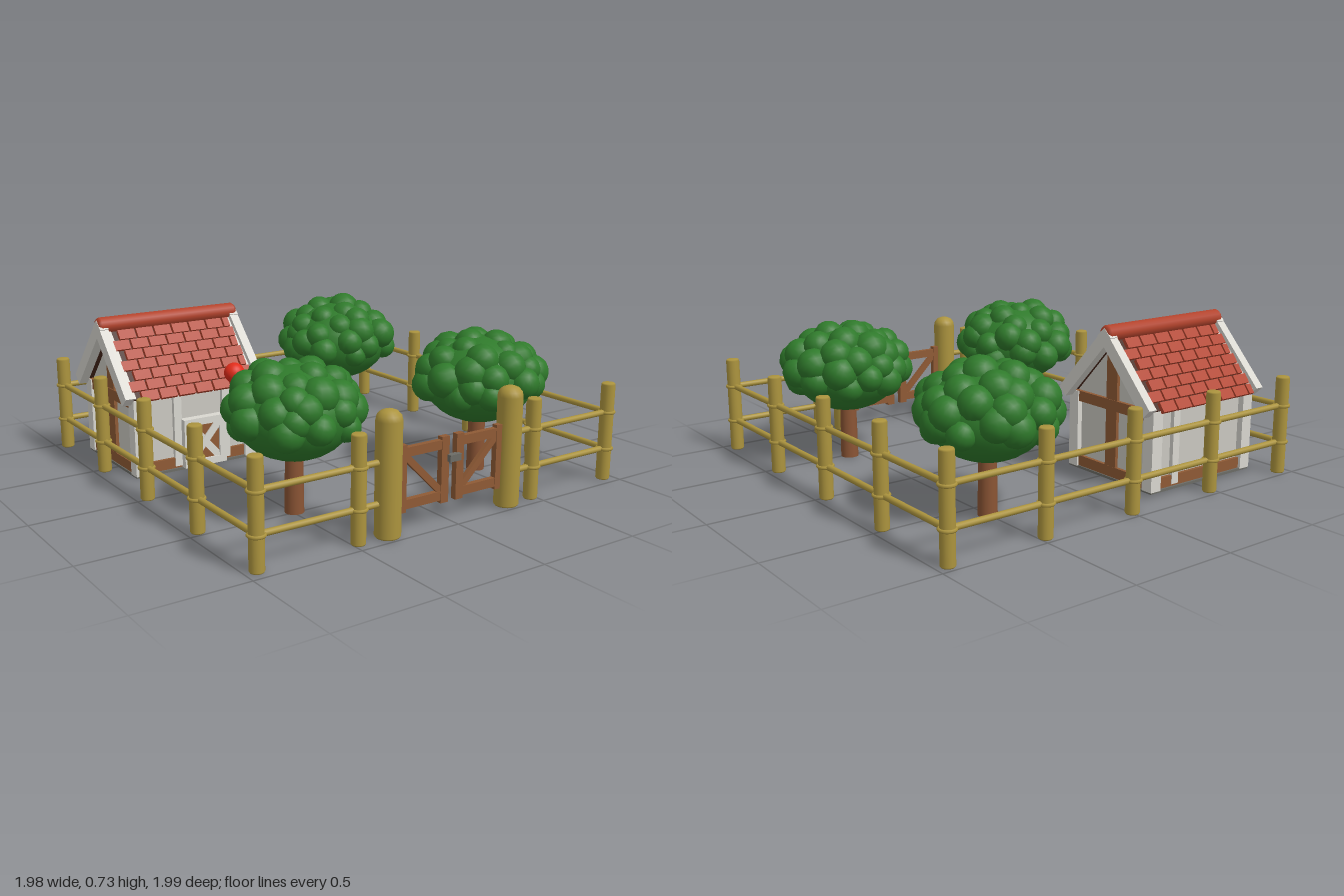
import * as THREE from 'three';

const mat = (name, color) => {
  const m = new THREE.MeshStandardMaterial({ color });
  m.name = name;
  return m;
};
const M = {
  bamboo: mat('bamboo', 0xac943e),
  timber: mat('timber', 0x8f5a35),
  bark: mat('bark', 0x8a5434),
  leaf: mat('leaf', 0x2f7a2b),
  white: mat('white trim', 0xd9d7d0),
  wall: mat('wall plaster', 0xcac8c1),
  tile: mat('roof tile', 0xb3432c),
  under: mat('roof boards', 0x47261a),
  red: mat('red ball', 0xe02c1a),
  stone: mat('dark stone and iron', 0x6c6c66),
};

function add(parent, name, geo, material, x = 0, y = 0, z = 0) {
  const m = new THREE.Mesh(geo, material);
  m.name = name;
  m.position.set(x, y, z);
  parent.add(m);
  return m;
}
const box = (parent, name, material, w, h, d, x = 0, y = 0, z = 0) =>
  add(parent, name, new THREE.BoxGeometry(w, h, d), material, x, y, z);
const lathe = (points, sides) =>
  new THREE.LatheGeometry(points.map(p => new THREE.Vector2(...p)), sides);
function group(parent, name, x = 0, y = 0, z = 0) {
  const g = new THREE.Group();
  g.name = name;
  g.position.set(x, y, z);
  parent.add(g);
  return g;
}
// Small seeded generator for irregular foliage
function seeded(s) {
  return () => (s = (s * 16807) % 2147483647) / 2147483647;
}

const X = 0.947, BACK = -0.956, FRONT = 0.939;
const RAILS = [0.15, 0.326];

function buildFence(root) {
  const fence = group(root, 'fence');
  const spots = [[-0.475, BACK], [0, BACK], [0.475, BACK], [-0.475, FRONT], [0.475, FRONT]];
  for (let i = 0; i < 5; i++) {
    const z = BACK + (FRONT - BACK) * i / 4;
    spots.push([-X, z], [X, z]);
  }

  // Posts with softly bevelled ends, bound by a ring at each rail
  const post = lathe([[0, 0], [0.028, 0], [0.032, 0.006], [0.032, 0.457], [0.028, 0.464], [0, 0.464]], 16);
  const ring = new THREE.TorusGeometry(0.033, 0.008, 6, 18).rotateX(Math.PI / 2);
  for (const [x, z] of spots) {
    add(fence, 'fencePost', post, M.bamboo, x, 0, z);
    for (const y of RAILS) add(fence, 'postBinding', ring, M.bamboo, x, y, z);
  }

  // Rails, broken at the gate
  const rail = (x0, z0, x1, z1, y) => {
    const len = Math.hypot(x1 - x0, z1 - z0);
    const r = add(fence, 'rail', new THREE.CylinderGeometry(0.014, 0.014, len, 10), M.bamboo,
      (x0 + x1) / 2, y, (z0 + z1) / 2);
    if (x0 === x1) r.rotation.x = Math.PI / 2;
    else r.rotation.z = Math.PI / 2;
  };
  for (const y of RAILS) {
    rail(-X, BACK, X, BACK, y);
    for (const s of [-1, 1]) {
      rail(s * X, BACK, s * X, FRONT, y);
      rail(s * X, FRONT, s * 0.33, FRONT, y);
    }
  }
}

function buildGate(root) {
  const gate = group(root, 'gate', 0, 0, FRONT);
  const post = lathe([[0, 0], [0.05, 0], [0.056, 0.008], [0.056, 0.495], [0.051, 0.517],
    [0.036, 0.533], [0.018, 0.54], [0, 0.542]], 20);
  for (const s of [-1, 1]) {
    add(gate, 'gatePost', post, M.bamboo, s * 0.328, 0, 0);
    const leaf = group(gate, 'gateLeaf');
    box(leaf, 'gateStile', M.timber, 0.04, 0.29, 0.028, s * 0.04, 0.235);
    box(leaf, 'gateStile', M.timber, 0.036, 0.29, 0.028, s * 0.262, 0.235);
    for (const y of [0.123, 0.347]) box(leaf, 'gateRail', M.timber, 0.22, 0.04, 0.025, s * 0.15, y);
    box(leaf, 'gateBrace', M.timber, 0.27, 0.03, 0.02, s * 0.15, 0.235).rotation.z = s * 0.78;
  }
  box(gate, 'gateLatch', M.stone, 0.06, 0.03, 0.028, 0, 0.285, 0.02);
}

function buildTree(root, x, z, seed) {
  const tree = group(root, 'tree', x, 0, z);
  const rnd = seeded(seed);
  add(tree, 'trunk', new THREE.CylinderGeometry(0.038, 0.043, 0.36, 14), M.bark, 0, 0.18, 0);
  const core = add(tree, 'foliageCore', new THREE.SphereGeometry(1, 24, 16), M.leaf, 0, 0.45, 0);
  core.scale.set(0.265, 0.205, 0.265);
  // Leaf clumps spread over the upper part of the crown
  const ball = new THREE.SphereGeometry(1, 14, 10);
  const n = 38;
  for (let i = 0; i < n; i++) {
    const h = 0.98 - 1.36 * (i + 0.5 * rnd()) / n;
    const a = i * 2.39996 + rnd() * 0.4 + seed;
    const r = Math.sqrt(1 - h * h) * 0.242, k = 0.95 + rnd() * 0.1;
    const c = add(tree, 'leafClump', ball, M.leaf,
      Math.cos(a) * r * k, 0.455 + h * 0.16 * k, Math.sin(a) * r * k);
    c.scale.setScalar(0.064 + rnd() * 0.02);
    c.rotation.set(rnd() * 3, rnd() * 3, 0);
  }
}

function buildHouse(root) {
  const house = group(root, 'house', -0.55, 0, -0.56);

  // Dark footing and wall core with gables
  box(house, 'footing', M.stone, 0.645, 0.012, 0.555, 0, 0.006);
  const shape = new THREE.Shape([[-0.25, 0.01], [0.25, 0.01], [0.25, 0.375], [0, 0.645], [-0.25, 0.375]]
    .map(p => new THREE.Vector2(...p)));
  const core = new THREE.ExtrudeGeometry(shape, { depth: 0.6, bevelEnabled: false });
  core.translate(0, 0, -0.3).rotateY(Math.PI / 2);
  add(house, 'walls', core, M.wall);

  for (const sx of [-1, 1]) {
    for (const sz of [-1, 1]) {
      box(house, 'cornerPost', M.white, 0.06, 0.37, 0.06, sx * 0.295, 0.193, sz * 0.25);
    }
    // Gable timbers
    box(house, 'gableSill', M.timber, 0.03, 0.052, 0.44, sx * 0.302, 0.036);
    box(house, 'gableBeam', M.timber, 0.03, 0.05, 0.5, sx * 0.304, 0.355);
    box(house, 'gablePost', M.timber, 0.028, 0.55, 0.07, sx * 0.302, 0.32);
  }
  // Sills and upright posts on the long walls
  for (const sz of [-1, 1]) {
    box(house, 'wallSill', M.timber, 0.54, 0.052, 0.03, 0, 0.036, sz * 0.252);
    for (const x of [-0.095, 0.165]) {
      box(house, 'wallPost', M.white, 0.04, 0.35, 0.04, x, 0.195, sz * 0.25);
    }
  }

  // Door with white frame and crossed braces
  const door = group(house, 'door', 0.035, 0.13, 0.275);
  box(door, 'doorPanel', M.timber, 0.2, 0.23, 0.03);
  for (const k of [-1, 1]) {
    box(door, 'doorStile', M.white, 0.036, 0.24, 0.046, k * 0.095, 0, 0.003);
    box(door, 'doorRail', M.white, 0.17, 0.034, 0.044, 0, k * 0.103, 0.003);
    box(door, 'doorBrace', M.white, 0.23, 0.036, 0.014, 0, 0, 0.014 + k * 0.002).rotation.z = k * 0.86;
  }

  // Two roof slopes: boards, staggered tiles and white barge boards
  const L = 0.442, rows = 8, step = (L + 0.013) / rows, tw = 0.094;
  for (const back of [0, 1]) {
    const side = group(house, back ? 'backRoof' : 'frontRoof', 0, 0.72, 0);
    side.rotation.y = back * Math.PI;
    const slope = group(side, 'slope');
    slope.rotation.x = 0.82;
    box(slope, 'roofBoards', M.under, 0.69, 0.024, L - 0.012, 0, -0.038, L / 2);
    for (const k of [-1, 1]) {
      box(slope, 'bargeBoard', M.white, 0.044, 0.06, L, k * 0.35, -0.03, L / 2);
      box(slope, 'bargeLedge', M.white, 0.02, 0.006, L - 0.02, k * 0.319, -0.024, L / 2);
    }
    for (let r = 0; r < rows; r++) {
      const half = r % 2 ? 0.312 : 0.33;
      for (let c = 0; c < 8; c++) {
        const start = -0.33 + (c - (r % 2) / 2) * tw;
        const x0 = Math.max(-half, start), x1 = Math.min(half, start + tw - 0.01);
        if (x1 - x0 < 0.02) continue;
        box(slope, 'roofTile', M.tile, x1 - x0, 0.018, step - 0.008,
          (x0 + x1) / 2, -0.017, (r + 0.5) * step + 0.003).rotation.x = 0.1;
      }
    }
  }
  const cap = lathe([[0, -0.37], [0.028, -0.37], [0.039, -0.355], [0.039, 0.355], [0.028, 0.37], [0, 0.37]], 12);
  add(house, 'ridgeCap', cap, M.tile, 0, 0.693, 0).rotation.z = Math.PI / 2;

  // Ball resting on the eave
  add(house, 'redBall', new THREE.SphereGeometry(0.05, 24, 16), M.red, 0.2, 0.447, 0.3);
}

export function createModel() {
  const root = new THREE.Group();
  root.name = 'fencedGarden';
  buildFence(root);
  buildGate(root);
  buildHouse(root);
  buildTree(root, -0.49, 0.49, 11);
  buildTree(root, 0.55, 0.49, 23);
  buildTree(root, 0.5, -0.6, 37);
  return root;
}
